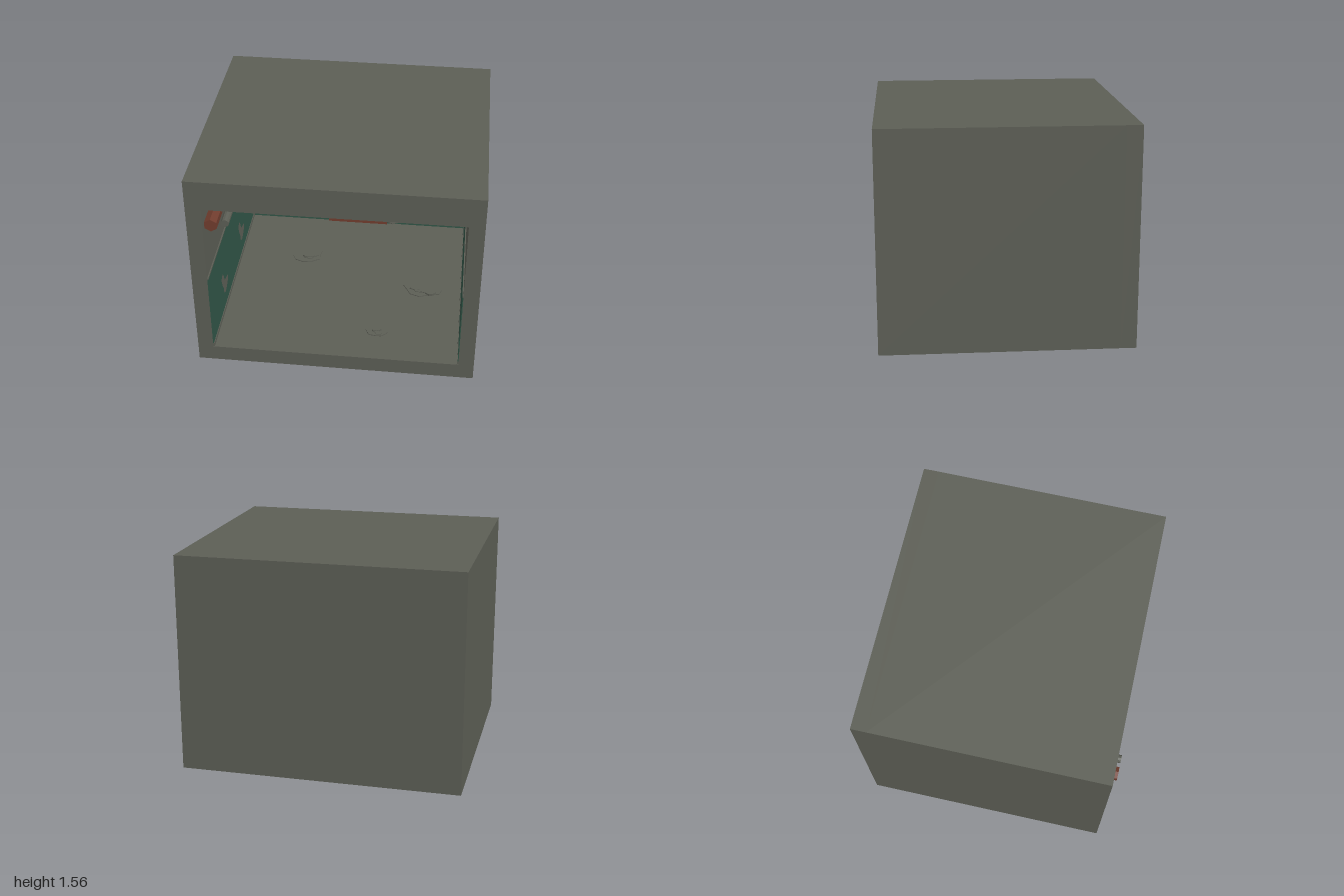
import * as THREE from 'three';

const mat = (name, color, side = THREE.FrontSide) => {
  const m = new THREE.MeshStandardMaterial({ color, side });
  m.name = name;
  return m;
};

export function createModel() {
  const group = new THREE.Group();
  const concrete = mat('concrete grey', 0x5c5e55);
  const green = mat('wall green', 0x315547);
  const rust = mat('rust red', 0x713d2e);

  const add = (name, geometry, material, x = 0, y = 0, z = 0) => {
    const mesh = new THREE.Mesh(geometry, material);
    mesh.name = name;
    mesh.position.set(x, y, z);
    group.add(mesh);
    return mesh;
  };
  // Box given by its minimum and maximum corners
  const box = (name, material, [x0, y0, z0], [x1, y1, z1]) =>
    add(name, new THREE.BoxGeometry(x1 - x0, y1 - y0, z1 - z0), material,
      (x0 + x1) / 2, (y0 + y1) / 2, (z0 + z1) / 2);
  const polygon = (points) => new THREE.Shape(points.map(([x, y]) => new THREE.Vector2(x, y)));

  // Room shell: a hollow sleeve closed by the back wall
  const W = 0.89, FLOOR = 0.12, CEIL = 1.34, BACK = -0.79, FRONT = 0.87;
  const frame = polygon([[-1, 0], [1, 0], [1, 1.56], [-1, 1.56]]);
  frame.holes.push(polygon([[-W, FLOOR], [-W, CEIL], [W, CEIL], [W, FLOOR]]));
  add('roomShell', new THREE.ExtrudeGeometry(frame, { depth: FRONT - BACK, bevelEnabled: false }),
    concrete, 0, 0, BACK);
  box('backWall', concrete, [-1, 0, -0.9], [1, 1.56, BACK]);

  // Painted lower walls, with skirting and rail along the sides
  box('backWallPaint', green, [-W, FLOOR, BACK], [W, 0.74, BACK + 0.006]);
  for (const s of [-1, 1]) {
    const strip = (name, material, y0, y1, t) =>
      box(name, material, [Math.min(s * W, s * (W - t)), y0, BACK],
        [Math.max(s * W, s * (W - t)), y1, FRONT - 0.002]);
    strip('sideWallPaint', green, FLOOR + 0.03, 0.74, 0.006);
    strip('skirting', concrete, FLOOR, FLOOR + 0.03, 0.011);
    strip('rail', concrete, 0.74, 0.753, 0.008);
  }

  // Patches of bare plaster where the paint has come off
  const outline = [[-0.105, 0.08], [-0.09, 0.102], [-0.055, 0.105], [-0.025, 0.06], [-0.01, 0.02],
    [0.035, 0.005], [0.095, -0.015], [0.105, -0.04], [0.065, -0.07], [0.015, -0.095],
    [-0.025, -0.09], [-0.055, -0.06], [-0.06, -0.02], [-0.09, 0.03]];
  const patchGeometry = (maxX = 1) => {
    const curve = new THREE.SplineCurve(
      [...outline, outline[0]].map(([x, y]) => new THREE.Vector2(x, y)));
    return new THREE.ShapeGeometry(new THREE.Shape(
      curve.getPoints(42).slice(0, -1).filter((p) => p.x <= maxX)));
  };
  for (const x of [-0.395, 0.275]) {
    add('plasterPatch', patchGeometry(), concrete, x, 0.36, BACK + 0.008);
    const brick = polygon([[-0.02, 0.008], [-0.008, 0.015], [0.018, 0.013], [0.02, -0.008],
      [0.004, -0.014], [-0.016, -0.012]]);
    add('bareBrick', new THREE.ShapeGeometry(brick), rust, x + 0.014, 0.332, BACK + 0.011);
  }
  add('plasterPatch', patchGeometry(-0.058), concrete, 0.945, 0.36, BACK + 0.008);
  for (const s of [-1, 1]) for (const z of [0.4, -0.26]) {
    const patch = add('sidePlasterPatch', patchGeometry(), concrete, s * (W - 0.008), 0.355, z);
    patch.rotation.y = -s * Math.PI / 2;
  }

  // Door with lintel and a small plate
  box('door', rust, [-0.245, FLOOR, BACK], [0.245, 1.05, BACK + 0.02]);
  box('doorLintel', concrete, [-0.288, 1.05, BACK], [0.288, 1.09, BACK + 0.04]);
  box('doorPlate', concrete, [0.152, 0.932, BACK], [0.186, 0.944, BACK + 0.028]);
  box('doorPlateStem', concrete, [0.165, 0.922, BACK], [0.175, 0.932, BACK + 0.026]);

  // Arrow pointing to the door
  const arrow = polygon([[0.22, 0.87], [0.275, 0.93], [0.288, 0.918], [0.258, 0.885], [0.575, 0.885],
    [0.575, 0.855], [0.258, 0.855], [0.288, 0.822], [0.275, 0.81]]);
  add('arrowSign', new THREE.ExtrudeGeometry(arrow, { depth: 0.006, bevelEnabled: false }),
    concrete, 0, 0, BACK + 0.02);

  // Ceiling lamp
  box('lampBase', concrete, [-0.28, 1.312, -0.06], [0.272, CEIL, 0.06]);
  box('lampCover', concrete, [-0.265, 1.298, -0.045], [0.258, 1.312, 0.045]);

  // Pipes running the depth of the room under the ceiling
  const pipe = (name, material, r, sides, x, y) => {
    const g = new THREE.CylinderGeometry(r, r, 1.7, sides).toNonIndexed();
    g.computeVertexNormals();
    add(name, g, material, x, y, 0.05).rotation.x = Math.PI / 2;
  };
  pipe('largePipe', rust, 0.048, 6, -0.826, 1.237);
  pipe('smallPipe', concrete, 0.028, 10, -0.727, 1.262);

  // Thin irregular slabs of fallen plaster, and one loose on the ceiling
  let seed = 7;
  const rand = () => (seed = (seed * 16807) % 2147483647) / 2147483647;
  const slab = (name, x, y, z, rx, rz, h) => {
    const pts = [];
    for (let i = 0; i < 11; i++) {
      const a = (i / 11) * Math.PI * 2, r = 0.75 + 0.25 * rand();
      pts.push([Math.cos(a) * rx * r, Math.sin(a) * rz * r]);
    }
    const g = new THREE.ExtrudeGeometry(polygon(pts), { depth: h, bevelEnabled: false });
    add(name, g, concrete, x, y, z).rotation.x = -Math.PI / 2;
  };
  for (const [x, z, rx, rz] of [[-0.36, -0.29, 0.14, 0.11], [0.28, 0.58, 0.09, 0.06], [0.59, 0.05, 0.16, 0.1]]) {
    slab('rubbleSlab', x, FLOOR, z, rx, rz, 0.007);
    for (let i = 0; i < 4; i++) {
      slab('rubbleChip', x + (rand() - 0.5) * rx, FLOOR, z + (rand() - 0.5) * rz,
        rx * 0.3, rz * 0.3, 0.011 + 0.008 * rand());
    }
  }
  slab('looseCeilingPlaster', 0.4, 1.308, 0.79, 0.075, 0.06, 0.008);
  box('ceilingPlasterStem', concrete, [0.385, 1.314, 0.775], [0.415, CEIL, 0.805]);

  return group;
}
